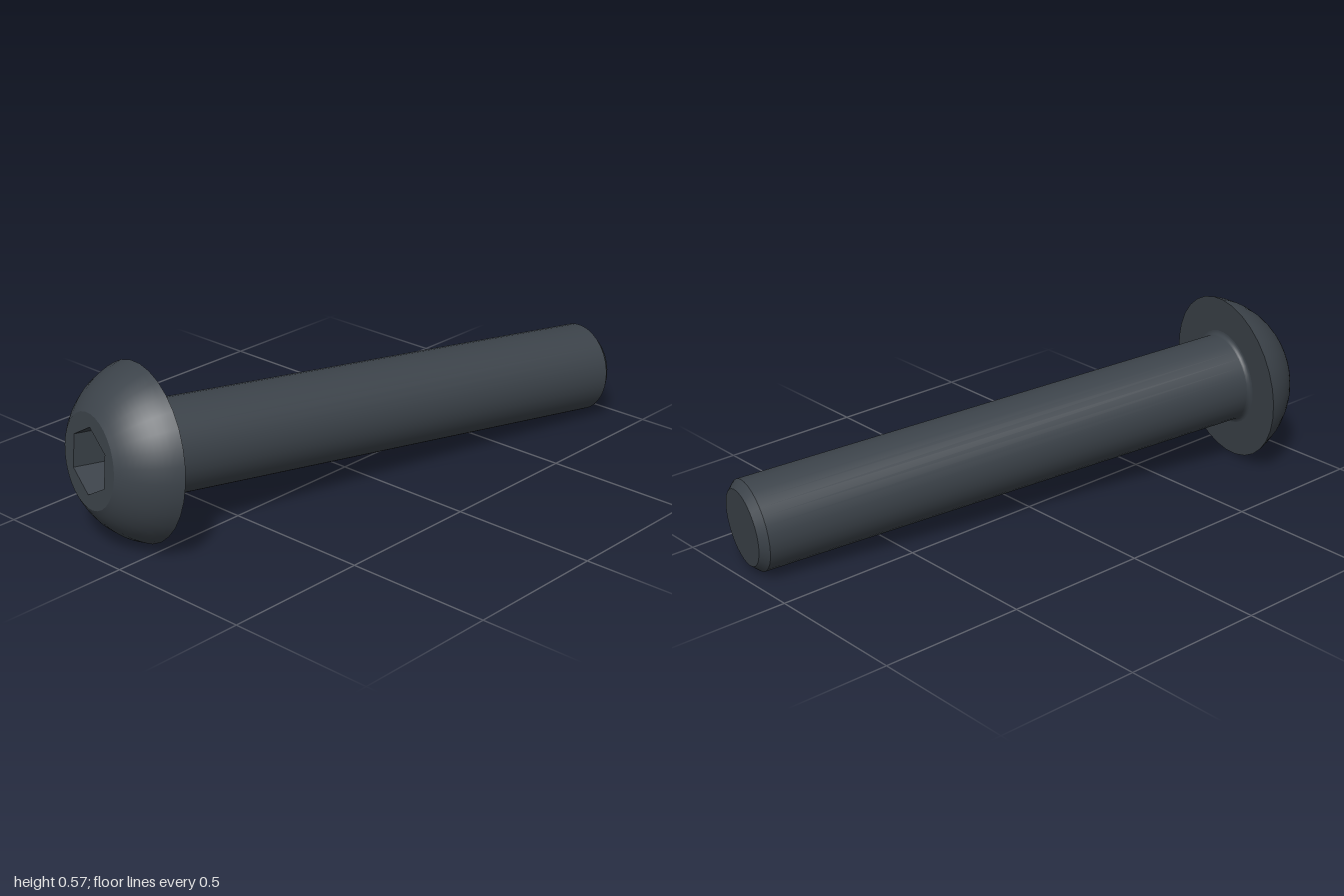
import * as THREE from 'three';

const SIDES = 32;
const SHAFT_R = 0.152, TIP_R = 0.127, LENGTH = 1.817, CHAMFER = 0.027, FILLET = 0.014;
const HEAD_R = 0.287, FACE_R = 0.153, HEAD_H = 0.166;
const HEX_R = 0.11, HEX_DEPTH = 0.13;

const ring = (r, n) => Array.from({ length: n }, (_, i) => {
  const a = (i / n) * Math.PI * 2 + Math.PI / 2;
  return new THREE.Vector2(r * Math.cos(a), r * Math.sin(a));
});

// Points on an arc, from angle a to b around (cx, cy)
const arc = (cx, cy, r, a, b, n) => Array.from({ length: n + 1 }, (_, i) => {
  const t = a + ((b - a) * i) / n;
  return [cx + r * Math.cos(t), cy + r * Math.sin(t)];
});

export function createModel() {
  const steel = new THREE.MeshStandardMaterial({ color: 0x3c434a });
  steel.name = 'dark steel';
  const bolt = new THREE.Group();
  bolt.name = 'bolt';

  const add = (name, geometry) => {
    const mesh = new THREE.Mesh(geometry, steel);
    mesh.name = name;
    bolt.add(mesh);
  };
  // Each turned section is its own lathe, so the edges between them stay sharp
  const turn = (name, profile) => add(name,
    new THREE.LatheGeometry(profile.map(([r, y]) => new THREE.Vector2(r, y)), SIDES));

  // Shaft, with the head end at y = 0
  turn('shaftTip', [[0, -LENGTH], [TIP_R, -LENGTH]]);
  turn('tipChamfer', [[TIP_R, -LENGTH], [SHAFT_R, -LENGTH + CHAMFER]]);
  turn('shaft', [[SHAFT_R, -LENGTH + CHAMFER], [SHAFT_R, -FILLET]]);
  turn('shaftFillet', arc(SHAFT_R + FILLET, -FILLET, FILLET, Math.PI, Math.PI / 2, 4));

  // Button head: flat underside and a spherical dome
  turn('headUnderside', [[SHAFT_R + FILLET, 0], [HEAD_R, 0]]);
  const cy = (FACE_R ** 2 + HEAD_H ** 2 - HEAD_R ** 2) / (2 * HEAD_H);
  turn('headDome', arc(0, cy, Math.hypot(HEAD_R, cy),
    Math.atan2(-cy, HEAD_R), Math.atan2(HEAD_H - cy, FACE_R), 10));

  // Flat face pierced by the hexagonal socket
  const face = new THREE.Shape(ring(FACE_R, SIDES));
  face.holes.push(new THREE.Path(ring(HEX_R, 6)));
  add('headFace', new THREE.ShapeGeometry(face).rotateX(-Math.PI / 2).translate(0, HEAD_H, 0));

  // Socket walls and floor, facing inward
  const socket = new THREE.LatheGeometry([
    new THREE.Vector2(HEX_R, HEAD_H),
    new THREE.Vector2(HEX_R, HEAD_H - HEX_DEPTH),
    new THREE.Vector2(0, HEAD_H - HEX_DEPTH),
  ], 6).toNonIndexed();
  socket.computeVertexNormals();
  add('hexSocket', socket);

  // Lay the bolt at a slant, resting on its head rim and tip
  const axis = new THREE.Vector3(-1, 0.077, -0.214).normalize();
  const up = new THREE.Vector3(0, 1, 0).addScaledVector(axis, -axis.y).normalize();
  const side = new THREE.Vector3().crossVectors(axis, up);
  bolt.quaternion.setFromRotationMatrix(new THREE.Matrix4().makeBasis(side, axis, up));
  bolt.position.set(-0.805, 0.287, -0.122);

  const model = new THREE.Group();
  model.name = 'buttonHeadBolt';
  model.add(bolt);
  return model;
}
